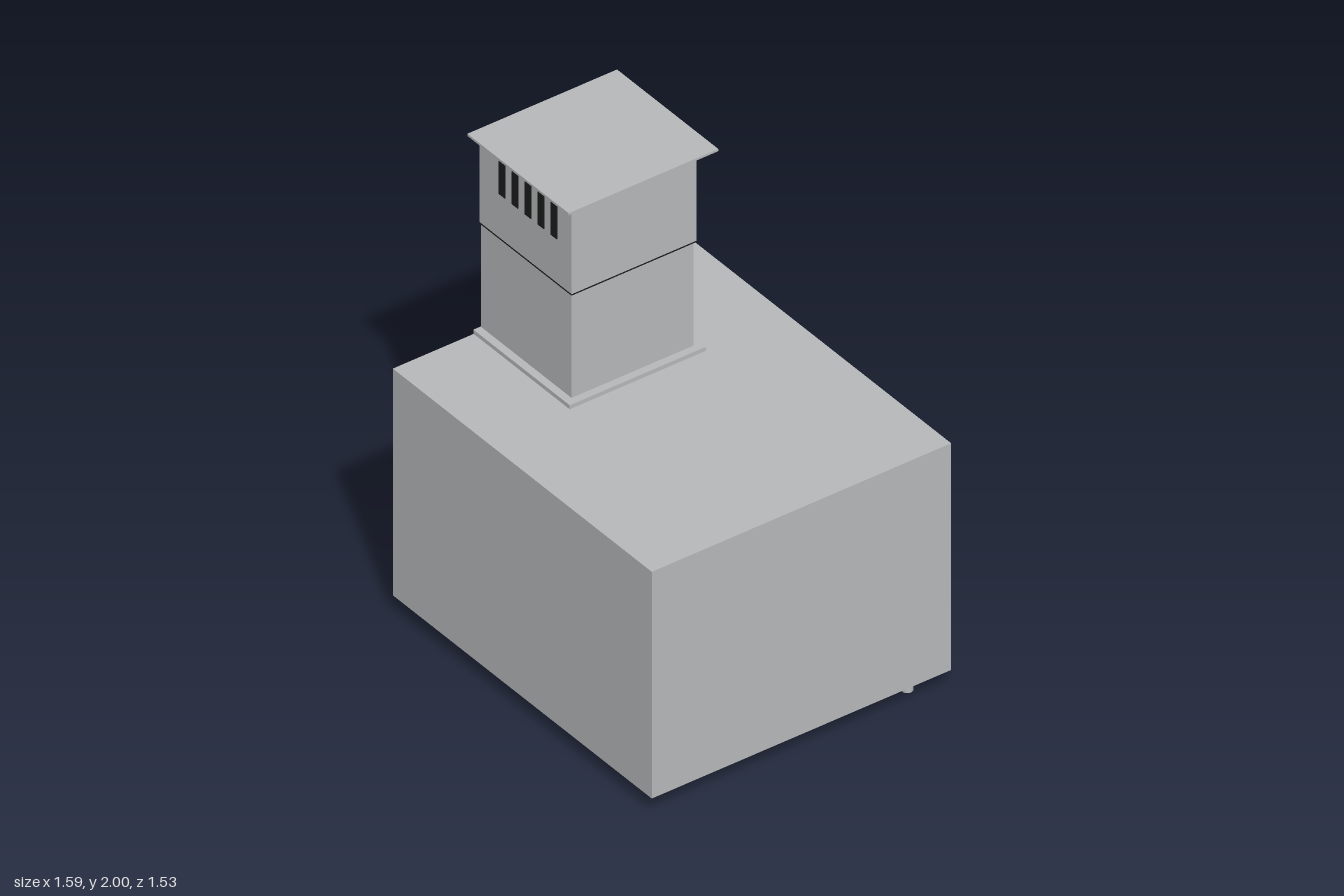
import * as THREE from 'three';

const steel = new THREE.MeshStandardMaterial({ name: 'brushed steel', color: 0xb8babc });
const black = new THREE.MeshStandardMaterial({ name: 'black', color: 0x1c1c1c });

// box given by its min and max on each axis
function box(parent, name, mat, [x0, x1], [y0, y1], [z0, z1]) {
  const mesh = new THREE.Mesh(new THREE.BoxGeometry(x1 - x0, y1 - y0, z1 - z0), mat);
  mesh.position.set((x0 + x1) / 2, (y0 + y1) / 2, (z0 + z1) / 2);
  mesh.name = name;
  parent.add(mesh);
  return mesh;
}

function cylinder(parent, name, mat, radius, length, x, y, z) {
  const mesh = new THREE.Mesh(new THREE.CylinderGeometry(radius, radius, length, 32), mat);
  mesh.position.set(x, y, z);
  mesh.name = name;
  parent.add(mesh);
  return mesh;
}

// one framed baffle filter; local x runs up the slope, local y faces down into the hood
function baffleFilter(length, width) {
  const g = new THREE.Group();
  g.name = 'baffleFilter';
  const h = width / 2, rail = 0.025;
  for (const s of [-1, 1]) {
    const z = s * (h - rail / 2);
    box(g, 'sideRail', steel, [0, length], [-0.03, 0.01], [z - rail / 2, z + rail / 2]);
  }
  box(g, 'lowerRail', steel, [0, rail], [-0.03, 0.01], [-h, h]);
  box(g, 'upperRail', steel, [length - rail, length], [-0.03, 0.01], [-h, h]);

  // two staggered layers of slats
  const count = 13, pitch = (width - 2 * rail) / count;
  for (let i = 0; i < count; i++) {
    const z = -h + rail + (i + 0.5) * pitch;
    box(g, 'frontBaffle', steel, [rail, length - rail], [-0.006, 0.004], [z - pitch * 0.3, z + pitch * 0.3]);
    box(g, 'baffleLip', steel, [rail, length - rail], [-0.018, -0.006], [z - pitch * 0.3, z - pitch * 0.22]);
    box(g, 'baffleLip', steel, [rail, length - rail], [-0.018, -0.006], [z + pitch * 0.22, z + pitch * 0.3]);
  }
  for (let i = 0; i <= count; i++) {
    const z = -h + rail + i * pitch;
    box(g, 'rearBaffle', steel, [rail, length - rail], [-0.03, -0.024], [z - pitch * 0.3, z + pitch * 0.3]);
  }

  // pull handle near the lower edge
  const handle = new THREE.Mesh(new THREE.TorusGeometry(0.035, 0.005, 8, 16, Math.PI), steel);
  handle.name = 'handle';
  handle.rotation.y = Math.PI / 2;
  handle.position.set(0.12, 0.004, 0);
  g.add(handle);
  return g;
}

export function createModel() {
  const model = new THREE.Group();
  model.name = 'exhaustHood';

  // open-bottomed canopy
  const canopy = new THREE.Group();
  canopy.name = 'canopy';
  model.add(canopy);
  const X = [-0.795, 0.795], Y = [0.075, 1.085], Z = [-0.595, 0.765], t = 0.008;
  box(canopy, 'frontWall', steel, X, Y, [Z[1] - t, Z[1]]);
  box(canopy, 'backWall', steel, X, Y, [Z[0], Z[0] + t]);
  box(canopy, 'leftWall', steel, [X[1] - t, X[1]], Y, [Z[0] + t, Z[1] - t]);
  box(canopy, 'rightWall', steel, [X[0], X[0] + t], Y, [Z[0] + t, Z[1] - t]);
  box(canopy, 'topPanel', steel, X, [1.085, 1.092], Z);

  // grease trough and drain
  const inner = [Z[0] + t, Z[1] - t];
  box(canopy, 'troughFloor', steel, [0.63, X[1] - t], [0.076, 0.084], inner);
  box(canopy, 'troughLip', steel, [0.622, 0.63], [0.076, 0.12], inner);
  cylinder(canopy, 'drain', steel, 0.022, 0.09, 0.715, 0.045, -0.455);

  // two sloping filters side by side
  const low = [0.625, 0.115], high = [-0.785, 0.84];
  const length = Math.hypot(high[0] - low[0], high[1] - low[1]);
  const width = (inner[1] - inner[0]) / 2;
  for (const s of [-0.5, 0.5]) {
    const filter = baffleFilter(length, width - 0.004);
    filter.position.set(low[0], low[1], (Z[0] + Z[1]) / 2 + s * width);
    filter.rotation.z = Math.atan2(high[1] - low[1], high[0] - low[0]);
    canopy.add(filter);
  }

  // chimney with flange, sleeve, seam and cap
  const chimney = new THREE.Group();
  chimney.name = 'chimney';
  model.add(chimney);
  box(chimney, 'flange', steel, [-0.797, -0.205], [1.092, 1.11], [-0.222, 0.398]);
  box(chimney, 'lowerDuct', steel, [-0.795, -0.238], [1.11, 1.573], [-0.188, 0.365]);
  box(chimney, 'seam', black, [-0.79, -0.233], [1.573, 1.581], [-0.194, 0.369]);
  box(chimney, 'upperDuct', steel, [-0.797, -0.231], [1.581, 1.99], [-0.198, 0.37]);
  box(chimney, 'cap', steel, [-0.797, -0.175], [1.99, 2], [-0.255, 0.425]);

  // vent slots, front and back
  for (const z of [0.37, -0.198]) {
    for (let i = 0; i < 5; i++) {
      const x = -0.656 + i * 0.0795;
      box(chimney, 'ventSlot', black, [x - 0.019, x + 0.019], [1.778, 1.925], [z - 0.003, z + 0.003]);
    }
  }

  // control box with knob on the back
  const control = new THREE.Group();
  control.name = 'control';
  model.add(control);
  box(control, 'controlBox', steel, [0.18, 0.45], [0.53, 0.843], [-0.732, -0.595]);
  cylinder(control, 'knob', black, 0.056, 0.035, 0.315, 0.685, -0.749).rotation.x = Math.PI / 2;

  return model;
}
